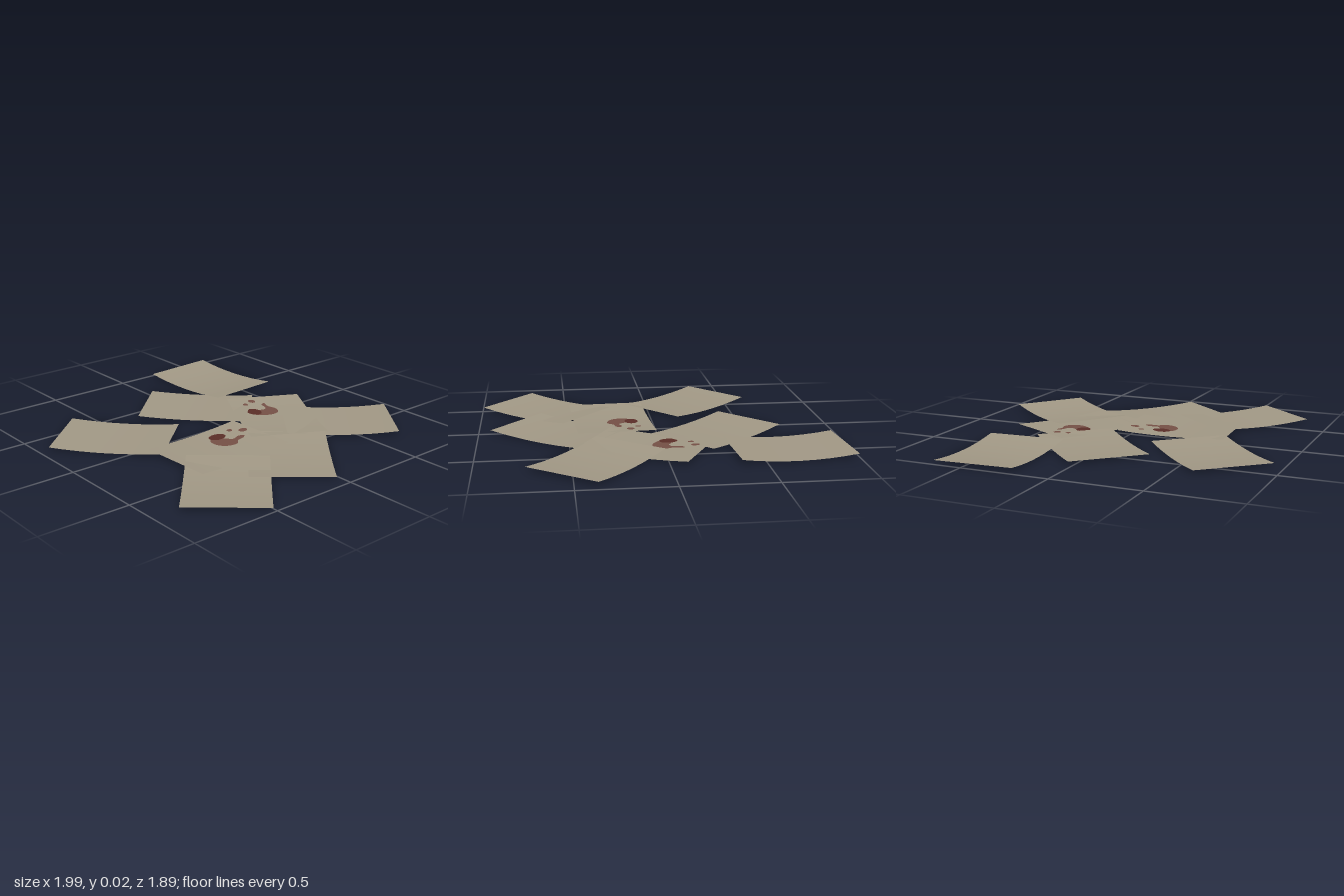
import * as THREE from 'three';

const LENGTH = 0.63, WIDTH = 0.445;

// centre x, centre z, heading of the long side, resting height, lift of the ends
const SHEETS = [
  { name: 'backLeftSheet', x: -0.67, z: -0.46, a: -0.06, y: 0.004, curl: 0.022 },
  { name: 'middleLeftSheet', x: -0.34, z: -0.085, a: -0.75, y: 0.005, curl: 0.012 },
  { name: 'stainedBackSheet', x: 0.083, z: -0.337, a: 0.49, y: 0.009, curl: 0.012 },
  { name: 'frontLeftSheet', x: -0.247, z: 0.568, a: -0.724, y: 0.004, curl: 0.015 },
  { name: 'rightSheet', x: 0.55, z: -0.003, a: 0.7, y: 0.004, curl: 0.014 },
  { name: 'stainedFrontSheet', x: 0.237, z: 0.224, a: 1.523, y: 0.008, curl: 0.012 },
  { name: 'frontRightSheet', x: 0.612, z: 0.483, a: 0.717, y: 0.007, curl: 0.016 },
  { name: 'backRightSheet', x: 0.367, z: -0.565, a: 2.227, y: 0.007, curl: 0.018 },
];

// Stain outlines as x, z points, spots as x, z, radius x, radius z
const STAINS = {
  stainedBackSheet: {
    smear: [[-0.11, -0.42], [-0.06, -0.408], [0, -0.42], [0.045, -0.395], [0.055, -0.345], [0.035, -0.295],
      [-0.01, -0.255], [-0.05, -0.285], [-0.05, -0.32], [-0.035, -0.35], [-0.05, -0.38], [-0.1, -0.393]],
    spots: [[-0.175, -0.38, 0.024, 0.02], [-0.16, -0.317, 0.017, 0.015]],
    core: [-0.04, -0.28, 0.05, 0.04],
  },
  stainedFrontSheet: {
    smear: [[0.205, 0.012], [0.225, 0.04], [0.232, 0.08], [0.262, 0.11], [0.264, 0.15], [0.24, 0.195],
      [0.19, 0.217], [0.135, 0.2], [0.13, 0.15], [0.165, 0.12], [0.2, 0.09], [0.187, 0.04]],
    spots: [[0.143, -0.03, 0.022, 0.026], [0.095, 0.028, 0.016, 0.016]],
    core: [0.125, 0.143, 0.038, 0.053],
  },
};

// Height of a bowed sheet at a point on the floor plan
function sheetHeight(s, x, z) {
  const t = ((x - s.x) * Math.cos(s.a) + (z - s.z) * Math.sin(s.a)) / (LENGTH / 2);
  return s.y + s.curl * t * t;
}

function drape(geometry, s, offset = 0) {
  const p = geometry.attributes.position;
  for (let i = 0; i < p.count; i++) {
    p.setY(i, sheetHeight(s, p.getX(i), p.getZ(i)) + offset);
  }
  geometry.computeVertexNormals();
  return geometry;
}

function sheetGeometry(s) {
  const g = new THREE.PlaneGeometry(LENGTH, WIDTH, 8, 2);
  g.rotateX(-Math.PI / 2).rotateY(-s.a).translate(s.x, 0, s.z);
  return drape(g, s);
}

function smearShape(points) {
  const curve = new THREE.CatmullRomCurve3(points.map(([x, z]) => new THREE.Vector3(x, -z, 0)), true);
  return new THREE.Shape(curve.getPoints(48).slice(0, -1).map((v) => new THREE.Vector2(v.x, v.y)));
}

function spotShape([x, z, rx, rz]) {
  return new THREE.Shape().absellipse(x, -z, rx, rz, 0, Math.PI * 2);
}

export function createModel() {
  const material = (name, color) =>
    new THREE.MeshStandardMaterial({ name, color, side: THREE.DoubleSide });
  const paper = material('paper', 0xa09784);
  const stain = material('stain', 0x744f45);
  const darkStain = material('darkStain', 0x5a2d27);

  const model = new THREE.Group();
  model.name = 'scatteredPapers';

  for (const s of SHEETS) {
    const group = new THREE.Group();
    group.name = s.name;
    const add = (name, geometry, mat) => {
      const mesh = new THREE.Mesh(geometry, mat);
      mesh.name = name;
      group.add(mesh);
    };
    add('paper', sheetGeometry(s), paper);

    // Stains soak through, so they show on both faces of the sheet
    const marks = STAINS[s.name];
    if (marks) {
      for (const side of [1, -1]) {
        const mark = (name, shape, mat, offset) => {
          const g = new THREE.ShapeGeometry(shape, 10).rotateX(-Math.PI / 2);
          add(name, drape(g, s, side * offset), mat);
        };
        mark('smear', smearShape(marks.smear), stain, 0.003);
        marks.spots.forEach((spot) => mark('spot', spotShape(spot), stain, 0.003));
        mark('smearCore', spotShape(marks.core), darkStain, 0.005);
      }
    }
    model.add(group);
  }
  return model;
}
